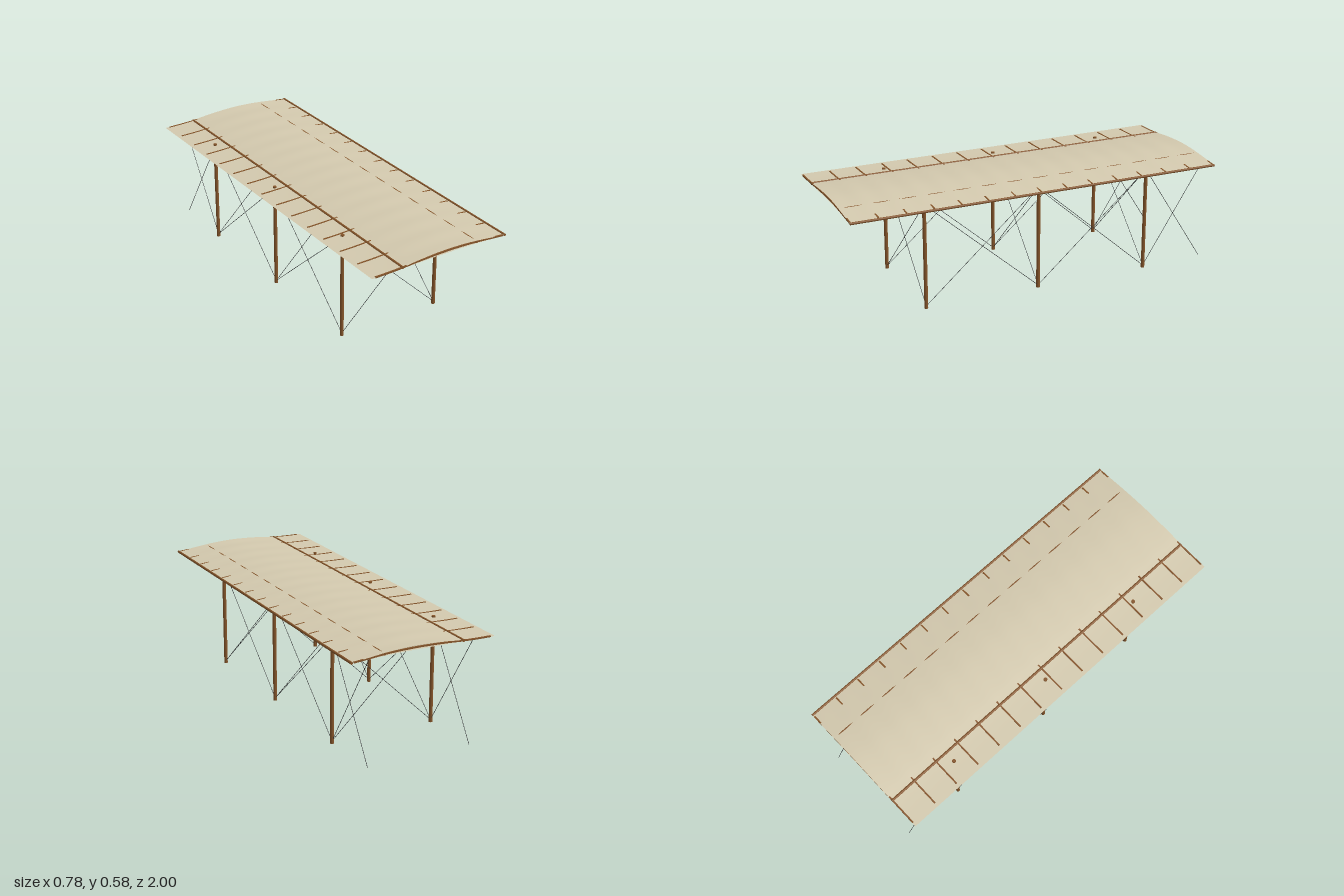
import * as THREE from 'three';

const canvas = new THREE.MeshStandardMaterial({ color: 0xd3c9ae, side: THREE.DoubleSide });
canvas.name = 'cream canvas';
const wood = new THREE.MeshStandardMaterial({ color: 0x85552a });
wood.name = 'brown wood';
const steel = new THREE.MeshStandardMaterial({ color: 0x303234 });
steel.name = 'dark wire';

const RIBS = 15, RIB_DEPTH = 0.008, RIB_HALF = 0.0035;
const SPACING = (2 - RIB_DEPTH) / (RIBS - 1);

// Section stations: x, height of the middle line, half thickness
const section = new THREE.CatmullRomCurve3([
  [-0.388, 0.5515, 0.001], [-0.3, 0.5528, 0.0013], [-0.22, 0.556, 0.0022],
  [-0.15, 0.561, 0.005], [-0.05, 0.566, 0.0078], [0.05, 0.5685, 0.009],
  [0.13, 0.5675, 0.008], [0.21, 0.564, 0.0061], [0.3, 0.557, 0.0037],
  [0.34, 0.5538, 0.0025], [0.378, 0.551, 0.001],
].map((p) => new THREE.Vector3(...p))).getPoints(44);

function add(group, name, geometry, material) {
  const mesh = new THREE.Mesh(geometry, material);
  mesh.name = name;
  group.add(mesh);
  return mesh;
}

// Round bar between two points
function rod(group, name, a, b, radius, material, sides = 12) {
  const from = new THREE.Vector3(...a), to = new THREE.Vector3(...b);
  const dir = to.clone().sub(from);
  const mesh = add(group, name, new THREE.CylinderGeometry(radius, radius, dir.length(), sides), material);
  mesh.position.copy(from).add(to).multiplyScalar(0.5);
  mesh.quaternion.setFromUnitVectors(new THREE.Vector3(0, 1, 0), dir.normalize());
}

// Closed outline around the middle line
function outline(points, half) {
  const top = points.map((p) => new THREE.Vector2(p.x, p.y + half(p)));
  const bottom = points.map((p) => new THREE.Vector2(p.x, p.y - half(p))).reverse();
  return new THREE.Shape([...bottom, ...top]);
}

// Fabric skin, fuller at each rib and slack between them
function skin(side) {
  const cols = section.length - 1, rows = (RIBS - 1) * 8;
  const geometry = new THREE.PlaneGeometry(1, 1, cols, rows);
  const pos = geometry.attributes.position;
  for (let r = 0; r <= rows; r++) {
    const z = -1 + (2 * r) / rows;
    const slack = 1 + 0.12 * Math.cos((2 * Math.PI * r) / 8);
    section.forEach((p, c) => pos.setXYZ(r * (cols + 1) + c, p.x, p.y + side * p.z * slack, z));
  }
  if (side < 0) geometry.index.array.reverse();
  geometry.computeVertexNormals();
  return geometry;
}

export function createModel() {
  const model = new THREE.Group();
  model.name = 'wingBay';

  // Covering
  add(model, 'upperSkin', skin(1), canvas);
  add(model, 'lowerSkin', skin(-1), canvas);
  for (const z of [-0.99, 0.99]) {
    add(model, 'endCover', new THREE.ShapeGeometry(outline(section, (p) => p.z)), canvas).position.z = z;
  }

  // Ribs
  const inner = section.filter((p) => p.x > -0.378 && p.x < 0.374);
  const ribGeometry = new THREE.ExtrudeGeometry(outline(inner, () => RIB_HALF), { depth: RIB_DEPTH, bevelEnabled: false });
  for (let i = 0; i < RIBS; i++) {
    add(model, 'rib', ribGeometry, wood).position.z = -1 + i * SPACING;
  }

  // Lengthwise spars
  for (const [name, x, y, r] of [
    ['rearSpar', -0.217, 0.5565, 0.007], ['frontSpar', 0.21, 0.564, 0.0065], ['leadingEdge', 0.381, 0.551, 0.0065],
  ]) rod(model, name, [x, y, -1], [x, y, 1], r, wood);

  // Posts and bracing wires
  const rows = [0.592, -0.026, -0.645, -0.99];
  const low = 0.012, high = 0.55;
  const wire = (a, b) => rod(model, 'bracingWire', a, b, 0.0013, steel, 6);
  for (const z of rows.slice(0, 3)) {
    rod(model, 'leftPost', [0.287, 0, z], [0.287, 0.56, z], 0.0095, wood, 16);
    rod(model, 'rightPost', [-0.275, 0, z], [-0.275, 0.562, z], 0.0095, wood, 16);
    wire([-0.275, low, z], [0.287, high, z]);
    wire([-0.275, high, z], [0.287, low, z]);
  }
  for (const x of [-0.275, 0.287]) {
    for (let i = 0; i < 3; i++) {
      wire([x, low, rows[i]], [x, high, rows[i + 1]]);
      wire([x, high, rows[i]], [x, low, rows[i + 1]]);
    }
  }
  return model;
}
